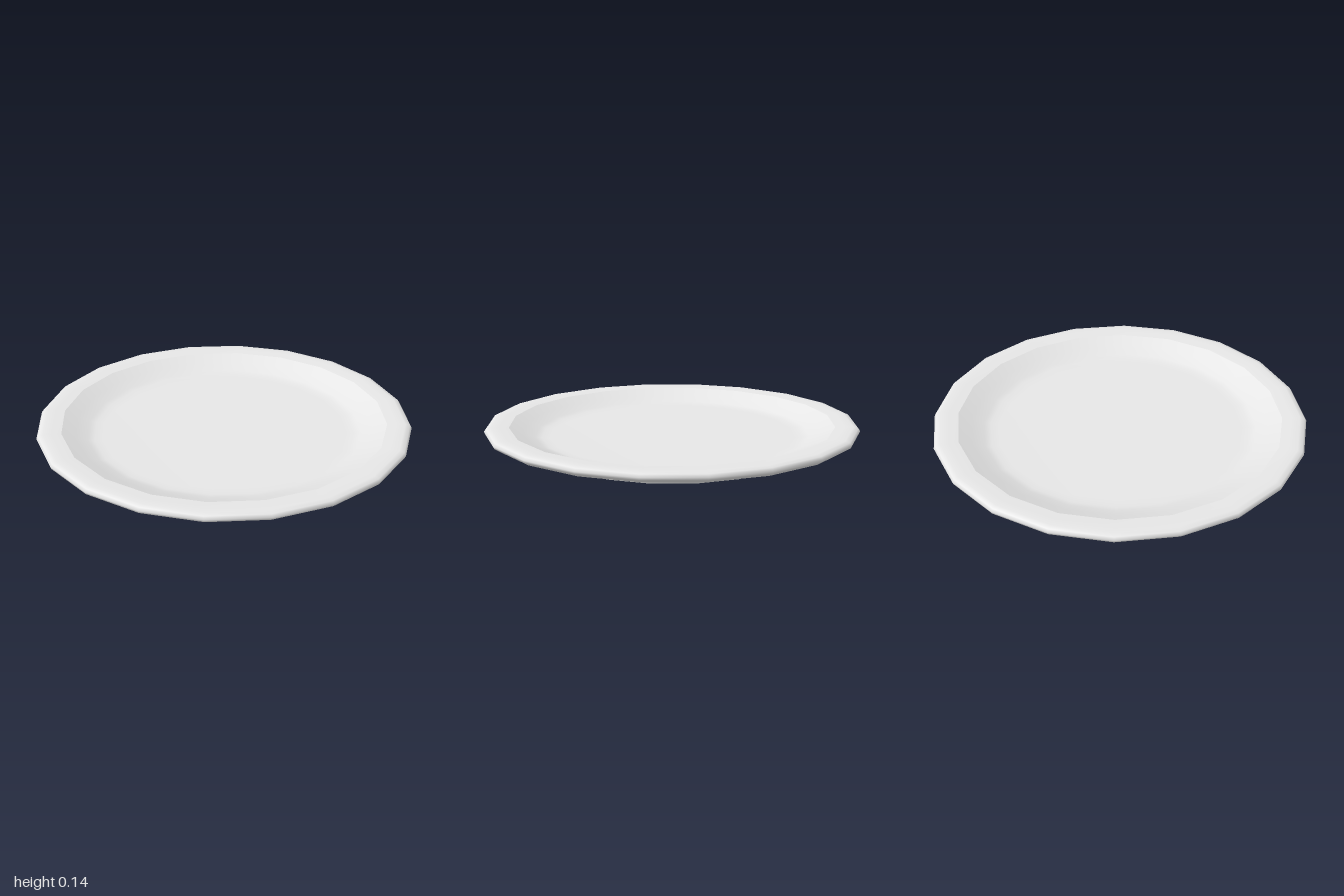
import * as THREE from 'three';

const SIDES = 20;

export function createModel() {
  const plate = new THREE.Group();
  plate.name = 'plate';

  const glaze = new THREE.MeshStandardMaterial({ color: 0xe6e6e6 });
  glaze.name = 'pale grey glaze';

  // Each band is turned from a [radius, height] profile; bands meet at sharp edges.
  function turned(name, profile) {
    const points = profile.map(([r, y]) => new THREE.Vector2(r, y));
    const mesh = new THREE.Mesh(new THREE.LatheGeometry(points, SIDES), glaze);
    mesh.name = name;
    plate.add(mesh);
  }

  // Flat underside of the foot
  turned('footBase', [[0, 0], [0.7, 0]]);

  // Foot wall flaring into the underside and the rounded lip
  turned('underside', [
    [0.7, 0], [0.705, 0.02], [0.725, 0.033], [0.8, 0.047], [0.9, 0.067],
    [0.97, 0.09], [0.995, 0.107], [1, 0.12], [0.99, 0.134], [0.965, 0.14],
    [0.92, 0.139], [0.87, 0.136],
  ]);

  // Sloping wall blending into the flat floor
  turned('well', [
    [0.87, 0.136], [0.8, 0.106], [0.735, 0.08], [0.7, 0.073],
    [0.65, 0.071], [0, 0.071],
  ]);

  return plate;
}
